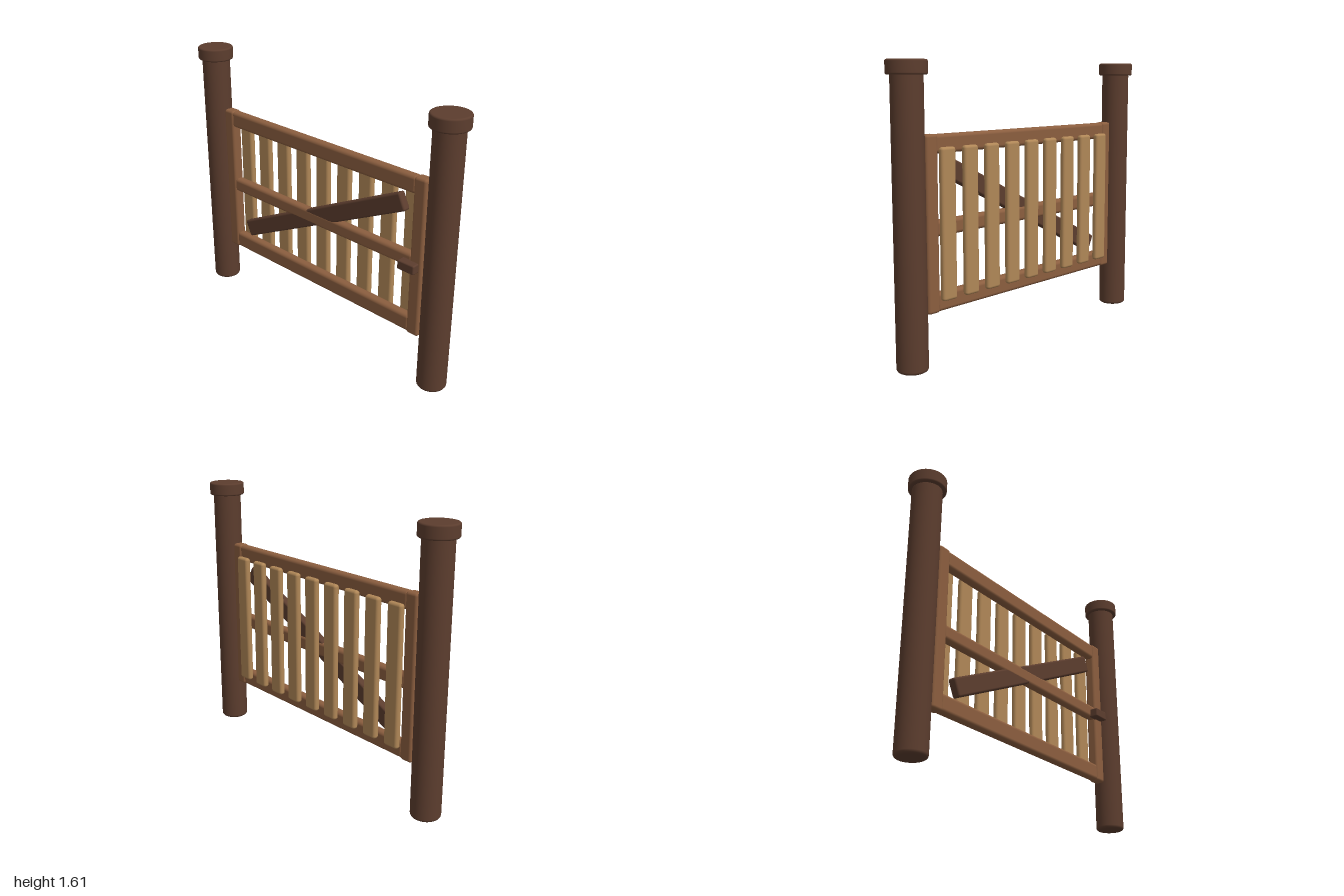
import * as THREE from 'three';
import { RoundedBoxGeometry } from 'three/addons/geometries/RoundedBoxGeometry.js';

export function createModel() {
  const gate = new THREE.Group();
  gate.name = 'gardenGate';

  const mat = (name, color) => {
    const m = new THREE.MeshStandardMaterial({ color });
    m.name = name;
    return m;
  };
  const darkWood = mat('darkWood', 0x5c3d2e);
  const frameWood = mat('frameWood', 0x8b5e3f);
  const slatWood = mat('slatWood', 0xb08757);

  const add = (name, geometry, material, x = 0, y = 0, z = 0) => {
    const mesh = new THREE.Mesh(geometry, material);
    mesh.name = name;
    mesh.position.set(x, y, z);
    gate.add(mesh);
    return mesh;
  };

  // Board with softened edges, given by its limits on each axis
  const board = (name, material, [x0, x1], [y0, y1], [z0, z1], r) =>
    add(name, new RoundedBoxGeometry(x1 - x0, y1 - y0, z1 - z0, 3, r), material,
      (x0 + x1) / 2, (y0 + y1) / 2, (z0 + z1) / 2);

  // Upright round timber with rounded rims
  const roundTimber = (radius, y0, y1, bevel) => {
    const pts = [new THREE.Vector2(0, y0), new THREE.Vector2(radius - bevel - 0.003, y0)];
    const steps = 4;
    for (const [cy, start] of [[y0 + bevel, -Math.PI / 2], [y1 - bevel, 0]]) {
      for (let i = 0; i <= steps; i++) {
        const a = start + (i / steps) * Math.PI / 2;
        pts.push(new THREE.Vector2(radius - bevel + bevel * Math.cos(a), cy + bevel * Math.sin(a)));
      }
    }
    pts.push(new THREE.Vector2(radius - bevel - 0.003, y1), new THREE.Vector2(0, y1));
    return new THREE.LatheGeometry(pts, 40);
  };

  // Posts, caps and the upright sides of the frame
  for (const [side, s] of [['left', 1], ['right', -1]]) {
    add(side + 'Post', roundTimber(0.085, 0, 1.55, 0.018), darkWood, s * 0.893);
    add(side + 'PostCap', roundTimber(0.107, 1.535, 1.612, 0.01), darkWood, s * 0.893);
    const stile = board(side + 'Stile', frameWood, [-0.04, 0.04], [0.283, 1.233], [-0.033, 0.033], 0.016);
    stile.position.x = s * 0.757;
  }

  // Horizontal rails
  const rails = [['topRail', 1.13, 1.231], ['middleRail', 0.692, 0.778], ['bottomRail', 0.285, 0.388]];
  for (const [name, y0, y1] of rails) {
    board(name, frameWood, [-0.73, 0.73], [y0, y1], [-0.029, 0.029], 0.02);
  }

  // Slats on the back
  for (let i = 0; i < 9; i++) {
    const x = (i - 4) * 0.167;
    board('slat' + (i + 1), slatWood, [x - 0.05, x + 0.05], [0.345, 1.165], [-0.064, -0.026], 0.016);
  }

  // Diagonal brace, set just behind the face of the middle rail
  const brace = board('diagonalBrace', darkWood, [-0.7, 0.7], [-0.053, 0.053], [-0.022, 0.028], 0.012);
  brace.position.x = 0.012;
  brace.position.y = 0.757;
  brace.rotation.z = 0.45;

  // Latch
  board('latch', darkWood, [0.667, 0.78], [0.69, 0.745], [0.02, 0.077], 0.008);

  return gate;
}
